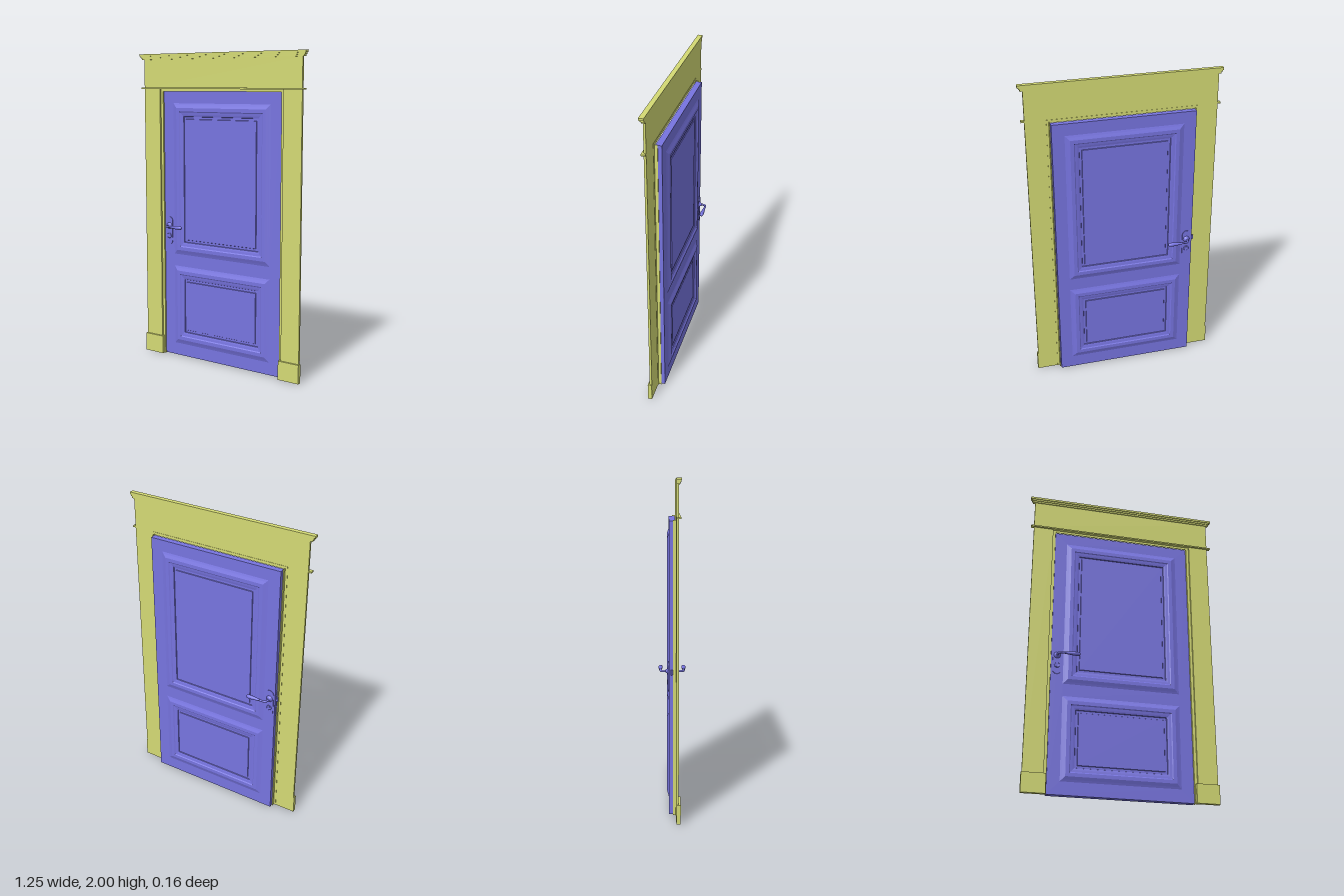
import * as THREE from 'three';

const yellow = new THREE.MeshStandardMaterial({ color: 0xd4da74 });
const blue = new THREE.MeshStandardMaterial({ color: 0x7774e0 });
const MID = -0.004; // middle plane of the door leaf
const HALF = 0.019; // half the leaf thickness

function add(parent, name, geometry, material, x = 0, y = 0, z = 0) {
  const mesh = new THREE.Mesh(geometry, material);
  mesh.name = name;
  mesh.position.set(x, y, z);
  parent.add(mesh);
  return mesh;
}

// Box given by its limits on each axis
function block(parent, name, material, x0, x1, y0, y1, z0, z1) {
  const g = new THREE.BoxGeometry(Math.abs(x1 - x0), y1 - y0, z1 - z0);
  return add(parent, name, g, material, (x0 + x1) / 2, (y0 + y1) / 2, (z0 + z1) / 2);
}

function rectPath(path, x, y0, y1) {
  path.moveTo(-x, y0);
  path.lineTo(x, y0);
  path.lineTo(x, y1);
  path.lineTo(-x, y1);
  path.closePath();
  return path;
}

// Mitred moulding and field: each profile step is [inset, height]
const panelProfile = [[0, 0], [0.012, 0.004], [0.03, 0.011], [0.052, 0.011], [0.058, 0.007],
  [0.072, 0.005], [0.084, 0.002], [0.086, -0.003], [0.1, -0.003], [0.102, 0.001]];

function panelGeometry(x, y0, y1) {
  const rings = panelProfile.map(([d, h]) => [
    [-x + d, y0 + d, h], [x - d, y0 + d, h], [x - d, y1 - d, h], [-x + d, y1 - d, h]]);
  const pos = [];
  const quad = (a, b, c, d) => pos.push(...a, ...b, ...c, ...a, ...c, ...d);
  for (let i = 0; i < rings.length - 1; i++) {
    for (let k = 0; k < 4; k++) {
      const n = (k + 1) % 4;
      quad(rings[i][k], rings[i][n], rings[i + 1][n], rings[i + 1][k]);
    }
  }
  quad(...rings[rings.length - 1]);
  const g = new THREE.BufferGeometry();
  g.setAttribute('position', new THREE.Float32BufferAttribute(pos, 3));
  g.computeVertexNormals();
  return g;
}

function createFrame() {
  const frame = new THREE.Group();
  frame.name = 'frame';
  for (const s of [-1, 1]) {
    block(frame, 'sideCasing', yellow, s * 0.467, s * 0.595, 0.12, 1.775, 0.02, 0.034);
    block(frame, 'plinthBlock', yellow, s * 0.455, s * 0.6, 0, 0.12, 0.02, 0.046);
    // Thin L-shaped reveal beside the leaf
    block(frame, 'jambFace', yellow, s * 0.449, s * 0.467, 0, 1.775, 0.018, 0.023);
    block(frame, 'jambReveal', yellow, s * 0.449, s * 0.453, 0, 1.765, 0, 0.018);
  }
  block(frame, 'headJamb', yellow, -0.467, 0.467, 1.76, 1.778, 0.018, 0.023);
  block(frame, 'headCasing', yellow, -0.595, 0.595, 1.783, 1.966, 0.02, 0.034);
  block(frame, 'headBead', yellow, -0.615, 0.615, 1.775, 1.784, 0.02, 0.046);
  // Stepped crown
  [[0.61, 1.964, 1.975, 0.04], [0.617, 1.975, 1.986, 0.045], [0.625, 1.986, 2, 0.05]].forEach(
    ([x, y0, y1, z]) => block(frame, 'crownMoulding', yellow, -x, x, y0, y1, 0.02, z));
  return frame;
}

// Lever, plate and key rosette on one face; s is the facing direction along z
function createLockset(s) {
  const set = new THREE.Group();
  set.name = s > 0 ? 'frontLockset' : 'backLockset';
  set.position.set(-0.41, 0, MID + s * HALF);

  const plate = new THREE.Shape();
  const w = 0.027, h = 0.092;
  plate.absarc(0, h - w, w, 0, Math.PI);
  plate.absarc(0, w - h, w, Math.PI, Math.PI * 2);
  const plateGeo = new THREE.ExtrudeGeometry(plate, { depth: 0.004, bevelEnabled: false, curveSegments: 10 });
  add(set, 'lockPlate', plateGeo, blue, 0, 0.848, s > 0 ? 0 : -0.004);

  const turned = (name, pts, y) => {
    const g = new THREE.LatheGeometry(pts.map(p => new THREE.Vector2(...p)), 20);
    add(set, name, g, blue, 0, y, 0).rotation.x = s * Math.PI / 2;
  };
  turned('leverRosette', [[0.021, 0], [0.021, 0.006], [0.014, 0.009], [0.011, 0.016], [0.008, 0.02], [0, 0.02]], 0.88);
  turned('keyRosette', [[0.017, 0], [0.017, 0.006], [0.013, 0.007], [0.011, 0.005], [0, 0.005]], 0.813);
  block(set, 'keySlot', blue, -0.002, 0.002, 0.804, 0.822, s > 0 ? 0.005 : -0.0065, s > 0 ? 0.0065 : -0.005);

  // Bent neck
  const bend = new THREE.CatmullRomCurve3([[0, 0.01], [0, 0.032], [0.004, 0.043], [0.014, 0.049], [0.05, 0.05]]
    .map(([x, z]) => new THREE.Vector3(x, 0.88, s * z)));
  add(set, 'leverNeck', new THREE.TubeGeometry(bend, 24, 0.0065, 12), blue);

  // Swelling grip
  const grip = [[0, 0], [0.007, 0], [0.008, 0.01], [0.0105, 0.035], [0.0125, 0.062], [0.0115, 0.08], [0.007, 0.089], [0, 0.091]];
  const gripGeo = new THREE.LatheGeometry(
    new THREE.SplineCurve(grip.map(p => new THREE.Vector2(...p))).getPoints(24).map(p => p.setX(Math.max(0, p.x))), 16);
  add(set, 'leverGrip', gripGeo, blue, 0.046, 0.88, s * 0.05).rotation.z = -Math.PI / 2;
  return set;
}

function createDoor() {
  const door = new THREE.Group();
  door.name = 'door';
  const panels = [[0.695, 1.685], [0.085, 0.615]];

  // Leaf with an opening for each panel
  const leaf = rectPath(new THREE.Shape(), 0.447, 0.004, 1.76);
  panels.forEach(([a, b]) => leaf.holes.push(rectPath(new THREE.Path(), 0.37, a, b)));
  add(door, 'doorLeaf', new THREE.ExtrudeGeometry(leaf, { depth: HALF * 2, bevelEnabled: false }), blue, 0, 0, MID - HALF);

  // Moulded panels on both faces
  for (const [a, b] of panels) {
    const g = panelGeometry(0.37, a, b);
    add(door, 'frontPanel', g, blue, 0, 0, MID + HALF);
    add(door, 'backPanel', g, blue, 0, 0, MID - HALF).rotation.y = Math.PI;
  }

  // Edge plate and bevelled latch
  block(door, 'latchPlate', blue, -0.45, -0.446, 0.76, 0.94, MID - 0.011, MID + 0.011);
  const latch = new THREE.Shape([[0, -0.008], [0, 0.008], [-0.012, -0.006], [-0.012, -0.008]]
    .map(p => new THREE.Vector2(...p)));
  const latchGeo = new THREE.ExtrudeGeometry(latch, { depth: 0.03, bevelEnabled: false });
  add(door, 'latchBolt', latchGeo, blue, -0.449, 0.895, MID).rotation.x = Math.PI / 2;

  door.add(createLockset(1), createLockset(-1));
  return door;
}

export function createModel() {
  const model = new THREE.Group();
  model.name = 'panelledDoor';
  model.add(createFrame(), createDoor());
  return model;
}
